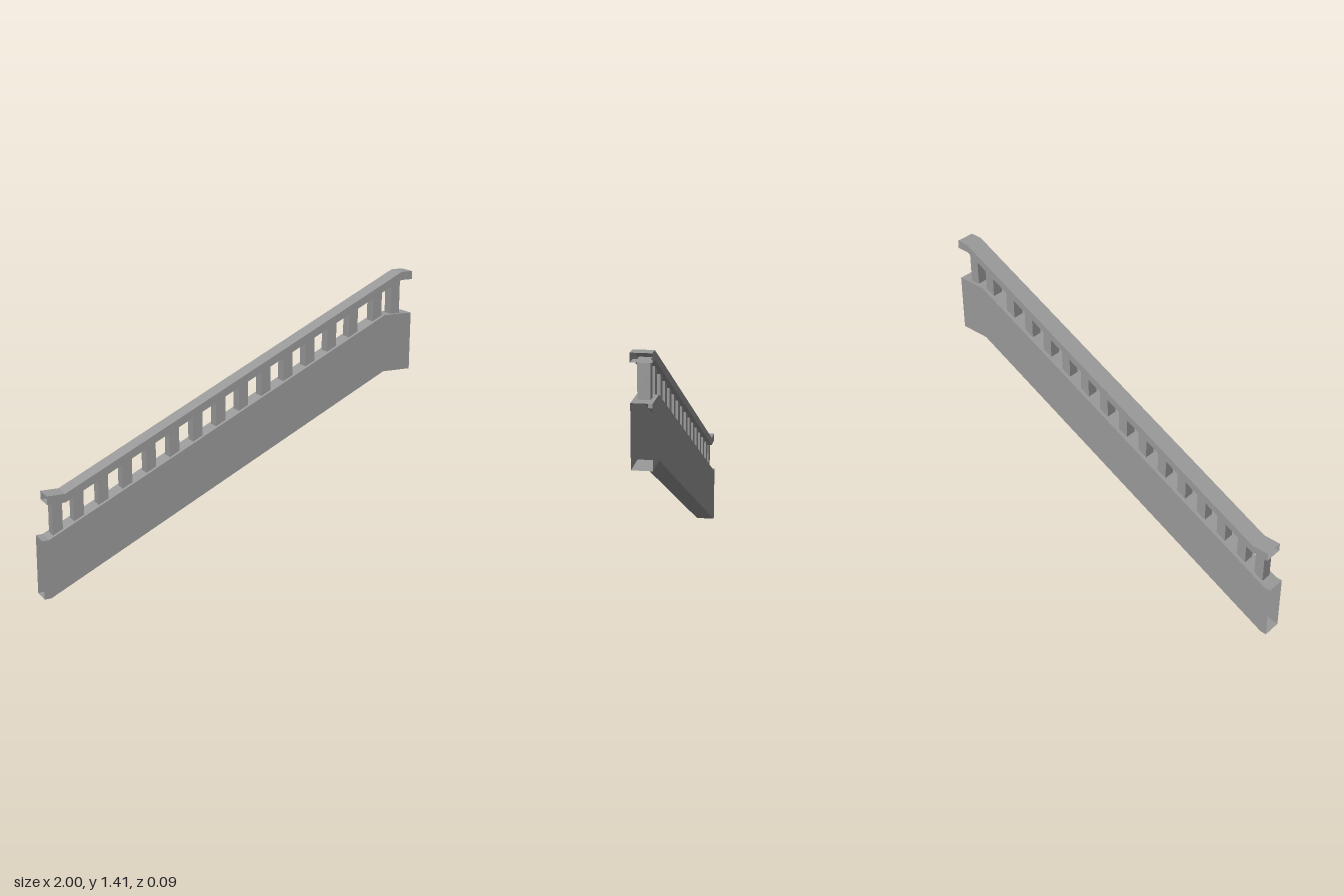
import * as THREE from 'three';

const material = new THREE.MeshStandardMaterial({ color: 0x9a9a9a, flatShading: true, side: THREE.DoubleSide });

// Stations along x: [x, bottom, top]
const BASE = [[-1, 0, 0.292], [-0.967, 0, 0.292], [0.845, 0.909, 1.2], [1, 0.909, 1.2]];
const RAIL = [[-0.97, 0.465, 0.507], [-0.88, 0.465, 0.507], [0.938, 1.372, 1.413], [1, 1.372, 1.413]];
const BALUSTER_WIDTH = 0.05;

// Rectangular section swept through the stations, open at both ends
function sweep(stations, halfDepth) {
  const rings = stations.map(([x, lo, hi]) => [
    [x, lo, halfDepth], [x, hi, halfDepth], [x, hi, -halfDepth], [x, lo, -halfDepth],
  ]);
  const pos = [];
  for (let i = 0; i < rings.length - 1; i++) {
    for (let k = 0; k < 4; k++) {
      const n = (k + 1) % 4;
      const a = rings[i][k], b = rings[i + 1][k], c = rings[i + 1][n], d = rings[i][n];
      pos.push(...a, ...b, ...c, ...a, ...c, ...d);
    }
  }
  const geometry = new THREE.BufferGeometry();
  geometry.setAttribute('position', new THREE.Float32BufferAttribute(pos, 3));
  geometry.computeVertexNormals();
  return geometry;
}

// Height of a station edge at x (column 1 = bottom, 2 = top)
function heightAt(stations, x, column) {
  let i = 0;
  while (i < stations.length - 2 && x > stations[i + 1][0]) i++;
  const a = stations[i], b = stations[i + 1];
  return THREE.MathUtils.lerp(a[column], b[column], (x - a[0]) / (b[0] - a[0]));
}

export function createModel() {
  const group = new THREE.Group();
  const add = (name, geometry, parent = group) => {
    const mesh = new THREE.Mesh(geometry, material);
    mesh.name = name;
    parent.add(mesh);
    return mesh;
  };

  // Hollow sloping wall and handrail
  add('stringerWall', sweep(BASE, 0.047));
  add('handrail', sweep(RAIL, 0.047));

  // Square balusters: an even run on the slope, plus a pair near each end
  const balusters = new THREE.Group();
  balusters.name = 'balusters';
  group.add(balusters);
  // Each entry: [x, how far the foot sinks below the wall's top]
  const posts = [[-0.916, 0.003], [-0.809, 0.013]];
  for (let i = 0; i < 12; i++) posts.push([-0.684 + i * 0.1233, 0.003]);
  posts.push([0.811, 0.013], [0.916, 0]);
  for (const [x, sink] of posts) {
    // Flat ends reach just inside the wall and the rail
    const bottom = heightAt(BASE, x - BALUSTER_WIDTH / 2, 2) - sink;
    const top = heightAt(RAIL, x + BALUSTER_WIDTH / 2, 1);
    const box = new THREE.BoxGeometry(BALUSTER_WIDTH, top - bottom, 0.056);
    add('baluster', box, balusters).position.set(x, (top + bottom) / 2, 0);
  }
  return group;
}
